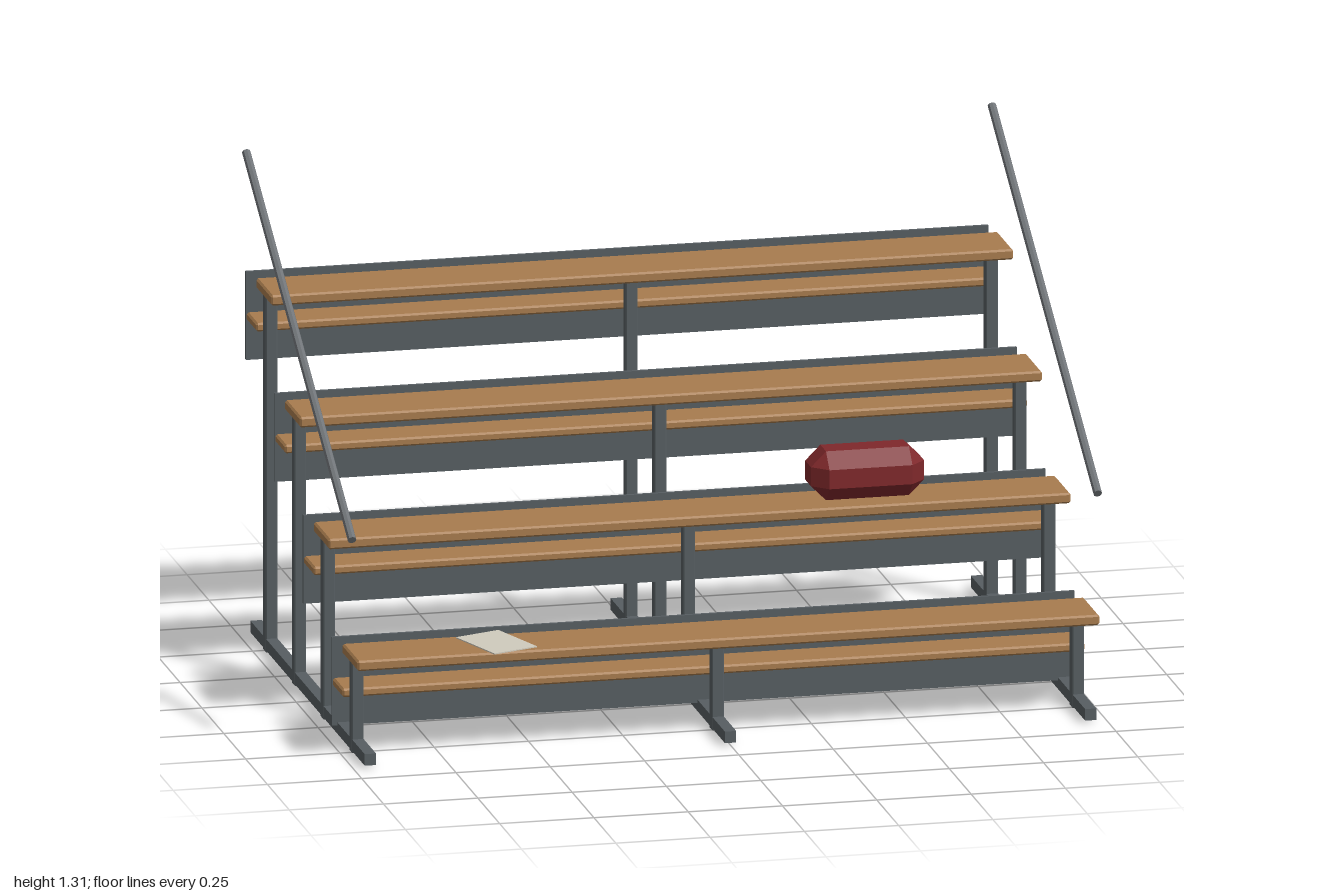
import * as THREE from 'three';
import { ConvexGeometry } from 'three/addons/geometries/ConvexGeometry.js';

const mat = (name, color) => {
  const m = new THREE.MeshStandardMaterial({ color });
  m.name = name;
  return m;
};

// Box with all edges cut flat by c
function chamferBox(w, h, d, c) {
  const pts = [];
  const half = [w / 2, h / 2, d / 2];
  for (const sx of [-1, 1]) for (const sy of [-1, 1]) for (const sz of [-1, 1]) {
    for (let axis = 0; axis < 3; axis++) {
      const p = half.map((v, i) => (i === axis ? v : v - c));
      pts.push(new THREE.Vector3(p[0] * sx, p[1] * sy, p[2] * sz));
    }
  }
  return new ConvexGeometry(pts);
}

export function createModel() {
  const wood = mat('wood', 0xa87c4e);
  const steel = mat('steel', 0x575e62);
  const railSteel = mat('railSteel', 0x6f7377);
  const red = mat('redFabric', 0x7f282b);
  const paper = mat('paper', 0xd0cbbd);

  const group = new THREE.Group();
  group.name = 'bleachers';
  const add = (name, geometry, material, x, y, z) => {
    const mesh = new THREE.Mesh(geometry, material);
    mesh.name = name;
    mesh.position.set(x, y, z);
    group.add(mesh);
    return mesh;
  };

  const LENGTH = 1.968, RISE = 0.237, RUN = 0.329;
  const FRAMES = [-0.955, 0, 0.955];
  const seatGeo = chamferBox(LENGTH, 0.028, 0.176, 0.005);
  const footGeo = chamferBox(LENGTH, 0.023, 0.114, 0.005);
  const riserGeo = new THREE.BoxGeometry(LENGTH, RISE, 0.009);

  // Four rows: seat plank, foot plank, riser panel and its posts
  for (let i = 0; i < 4; i++) {
    const y = i * RISE, z = -i * RUN;
    add('seat', seatGeo, wood, 0, 0.267 + y, 0.544 + z);
    add('footboard', footGeo, wood, 0, 0.148 + y, 0.403 + z);
    add('riserPanel', riserGeo, steel, 0, 0.148 + y, 0.338 + z);
    const height = 0.254 + y;
    const postGeo = chamferBox(0.032, height, 0.032, 0.003);
    for (const x of FRAMES) add('post', postGeo, steel, x, height / 2, 0.496 + z);
  }

  // Ground runners
  const runnerGeo = new THREE.BoxGeometry(0.03, 0.031, 1.31);
  for (const x of FRAMES) add('groundRunner', runnerGeo, steel, x, 0.022, 0);

  // Sloping handrails
  const low = new THREE.Vector3(0, 0.595, 0.59);
  const high = new THREE.Vector3(0, 1.305, -0.622);
  const dir = high.clone().sub(low);
  const mid = low.clone().add(high).multiplyScalar(0.5);
  const railGeo = new THREE.CylinderGeometry(0.0115, 0.0115, dir.length(), 8).toNonIndexed();
  railGeo.computeVertexNormals();
  for (const side of [-1, 1]) {
    const rail = add('handrail', railGeo, railSteel, side * 0.9885, mid.y, mid.z);
    rail.quaternion.setFromUnitVectors(new THREE.Vector3(0, 1, 0), dir.clone().normalize());
  }

  // Bag left on the second row
  add('bag', chamferBox(0.3, 0.131, 0.146, 0.04), red, 0.457, 0.59, 0.216);

  // Sheet of paper on the front row
  const sheet = add('paperSheet', new THREE.BoxGeometry(0.13, 0.003, 0.185), paper, -0.595, 0.2835, 0.543);
  sheet.rotation.y = 0.34;

  return group;
}
